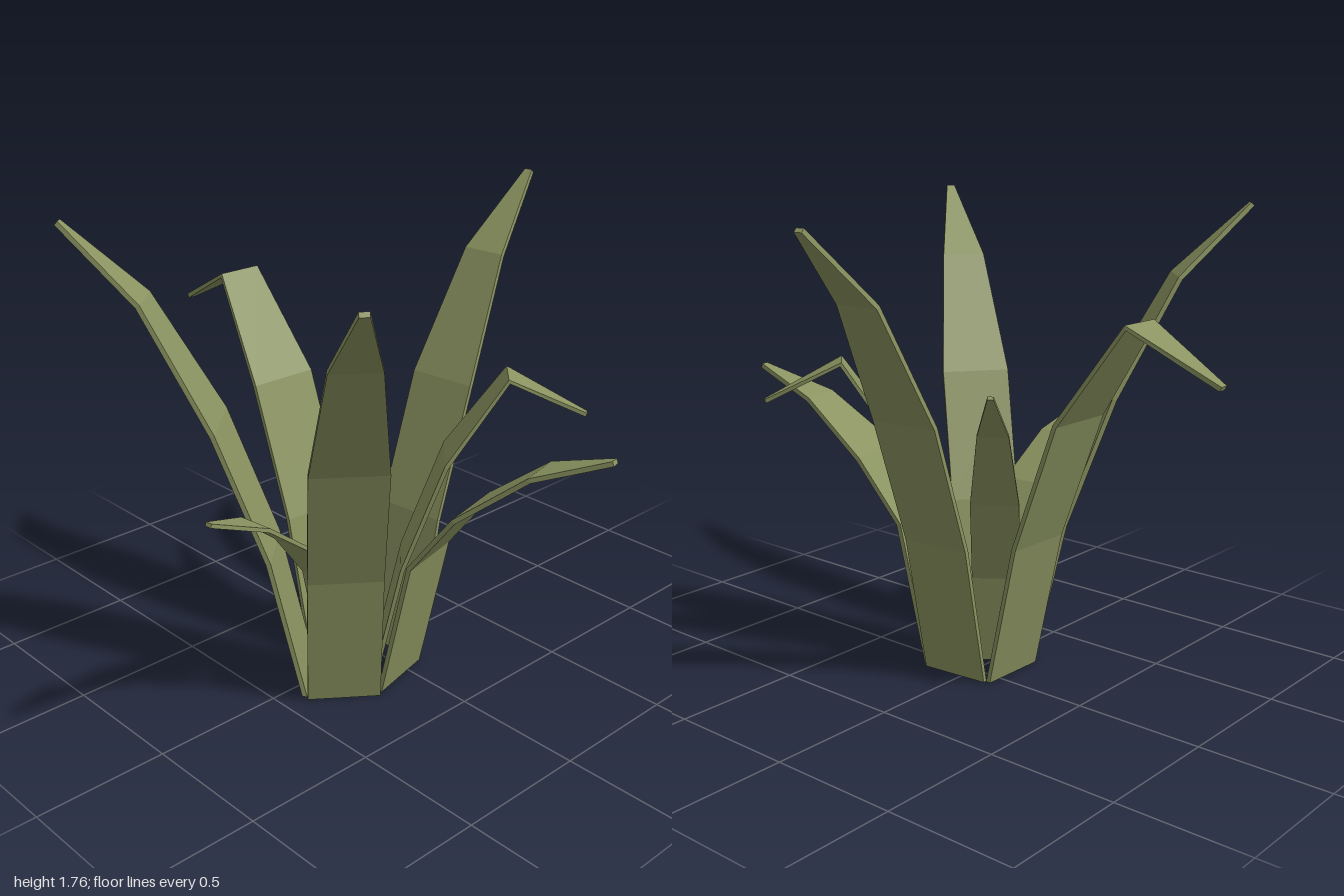
import * as THREE from 'three';

const THICKNESS = 0.018;
const HALF_WIDTHS = [0.135, 0.135, 0.135, 0.085, 0.016];

// Leaf side profiles: [distance outward, height] from base to tip
const PROFILES = {
  tall: [[0, 0], [0.12, 0.55], [0.3, 1.04], [0.54, 1.485], [0.813, 1.75]],
  folded: [[0, 0], [0.12, 0.55], [0.3, 1.04], [0.55, 1.405], [0.88, 1.235]],
  arched: [[0, 0], [0.12, 0.55], [0.295, 0.785], [0.55, 0.985], [0.812, 1.085]],
};

// Bends a segmented box along a profile, tapering its width
function leafGeometry(profile) {
  const last = profile.length - 1;
  const box = new THREE.BoxGeometry(1, 1, 1, 1, last, 1);
  const normals = profile.map((p, i) => {
    if (i === 0) return [1, 0]; // keeps the base flat on the ground
    const a = profile[i - 1];
    const b = profile[Math.min(i + 1, last)];
    const len = Math.hypot(b[0] - a[0], b[1] - a[1]);
    return [(b[1] - a[1]) / len, -(b[0] - a[0]) / len];
  });
  const pos = box.attributes.position;
  for (let v = 0; v < pos.count; v++) {
    const i = Math.round((pos.getY(v) + 0.5) * last);
    const offset = pos.getZ(v) * THICKNESS;
    pos.setXYZ(
      v,
      pos.getX(v) * 2 * HALF_WIDTHS[i],
      profile[i][1] + normals[i][1] * offset,
      profile[i][0] + normals[i][0] * offset
    );
  }
  const geometry = box.toNonIndexed();
  geometry.computeVertexNormals();
  return geometry;
}

// Leaves: name, profile, scale, base centre [x, z], outward direction [x, z]
const LEAVES = [
  // outer ring
  ['backLeaf', 'tall', 1, [0.03, -0.075], [-0.08, -0.81]],
  ['frontLeftLeaf', 'tall', 1, [0.17, 0.3], [0.64, 0.49]],
  ['frontRightLeaf', 'tall', 1, [-0.02, 0.31], [-0.6, 0.56]],
  ['rightFoldedLeaf', 'folded', 1, [-0.12, 0.075], [-0.88, -0.02]],
  ['leftArchedLeaf', 'arched', 1, [0.205, 0.05], [0.79, -0.19]],
  // smaller inner leaves
  ['innerFrontLeaf', 'arched', 0.815, [0.05, 0.19], [0.08, 0.67]],
  ['innerBackLeftLeaf', 'folded', 0.85, [0.085, 0.06], [0.535, -0.535]],
  ['innerBackRightLeaf', 'tall', 0.667, [0, 0.13], [-0.325, -0.43]],
];

export function createModel() {
  const group = new THREE.Group();
  group.name = 'leafyPlant';
  const leafGreen = new THREE.MeshStandardMaterial({ color: 0x8a9360, flatShading: true });
  leafGreen.name = 'leafGreen';

  const geometries = {};
  for (const key in PROFILES) geometries[key] = leafGeometry(PROFILES[key]);

  for (const [name, type, scale, base, dir] of LEAVES) {
    const leaf = new THREE.Mesh(geometries[type], leafGreen);
    leaf.name = name;
    leaf.position.set(base[0], 0, base[1]);
    leaf.rotation.y = Math.atan2(dir[0], dir[1]);
    leaf.scale.setScalar(scale);
    group.add(leaf);
  }
  return group;
}
